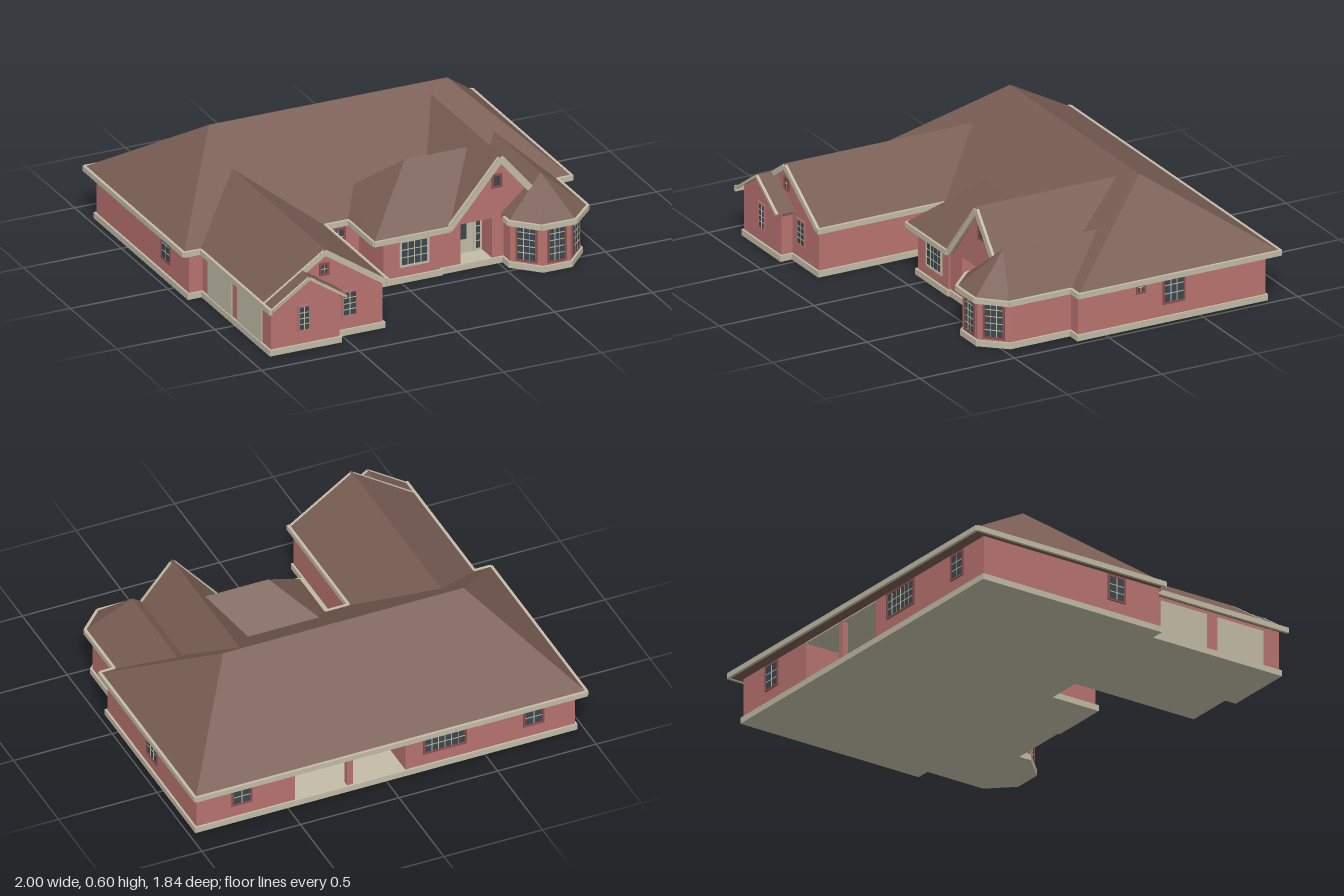
import * as THREE from 'three';

const mat = (name, color, side = THREE.FrontSide) => {
  const m = new THREE.MeshStandardMaterial({ color, side });
  m.name = name;
  return m;
};

export function createModel() {
  const house = new THREE.Group();
  house.name = 'house';
  const brick = mat('brick', 0xb8736f);
  const darkBrick = mat('dark brick', 0x8a504d);
  const cream = mat('cream trim', 0xc2bca6);
  const glass = mat('glass', 0x3c464e);
  const shingle = mat('shingle', 0x785d53, THREE.DoubleSide);

  const add = (name, geo, m, parent = house) => {
    const mesh = new THREE.Mesh(geo, m);
    mesh.name = name;
    parent.add(mesh);
    return mesh;
  };
  const box = (name, m, x0, x1, y0, y1, z0, z1) =>
    add(name, new THREE.BoxGeometry(x1 - x0, y1 - y0, z1 - z0), m)
      .position.set((x0 + x1) / 2, (y0 + y1) / 2, (z0 + z1) / 2);

  // Plan outline of [x, z] points raised from y0 to y1
  const plan = (name, m, pts, y0, y1) => {
    const shape = new THREE.Shape(pts.map(([x, z]) => new THREE.Vector2(x, -z)));
    const geo = new THREE.ExtrudeGeometry(shape, { depth: y1 - y0, bevelEnabled: false });
    add(name, geo.rotateX(-Math.PI / 2).translate(0, y0, 0), m);
  };
  // Upright outline of [x, y] points, thickened from z0 to z1
  const gable = (name, pts, z0, z1) => {
    const shape = new THREE.Shape(pts.map(p => new THREE.Vector2(...p)));
    add(name, new THREE.ExtrudeGeometry(shape, { depth: z1 - z0, bevelEnabled: false }).translate(0, 0, z0), brick);
  };
  // Flat roof faces, each fanned from its first corner
  const roof = (name, faces) => {
    const pos = [];
    for (const f of faces)
      for (let i = 1; i < f.length - 1; i++) {
        const t = [f[0], f[i], f[i + 1]].map(p => new THREE.Vector3(...p));
        const n = t[1].clone().sub(t[0]).cross(t[2].clone().sub(t[0]));
        if (n.y < 0) t.reverse();
        t.forEach(v => pos.push(v.x, v.y, v.z));
      }
    const geo = new THREE.BufferGeometry();
    geo.setAttribute('position', new THREE.Float32BufferAttribute(pos, 3));
    geo.computeVertexNormals();
    add(name, geo, shingle);
  };
  // Straight trim board between two points
  const board = (name, a, b, w, h) => {
    const p = new THREE.Vector3(...a), q = new THREE.Vector3(...b);
    const mesh = add(name, new THREE.BoxGeometry(w, h, p.distanceTo(q)), cream);
    mesh.position.copy(p).add(q).multiplyScalar(0.5);
    mesh.lookAt(q);
  };

  // Foundation and brick walls, with a back porch and a front entry recess
  plan('foundation', cream, [
    [-.97, -.86], [.97, -.86], [.97, .15], [.9, .15], [.9, .465], [.79, .585], [.64, .585], [.52, .465],
    [.52, .4], [.21, .4], [.21, .41], [-.1, .41], [-.1, .15], [-.28, .15], [-.28, .82], [-.53, .82],
    [-.53, .88], [-.9, .88], [-.9, .15], [-.97, .15]], 0, .03);
  plan('walls', brick, [
    [-.96, -.85], [-.1, -.85], [-.1, -.5], [.46, -.5], [.46, -.85], [.96, -.85], [.96, .14], [.89, .14],
    [.89, .46], [.785, .575], [.645, .575], [.53, .46], [.53, .39], [.47, .39], [.47, .28], [.31, .28],
    [.31, .39], [.2, .39], [.2, .4], [-.09, .4], [-.09, .14], [-.29, .14], [-.29, .81], [-.54, .81],
    [-.54, .87], [-.89, .87], [-.89, .14], [-.96, .14]], .03, .235);
  gable('wingGable', [[-.88, .23], [-.3, .23], [-.3, .25], [-.59, .45], [-.88, .25]], .79, .81);
  gable('smallGable', [[-.89, .23], [-.54, .23], [-.54, .25], [-.71, .37], [-.89, .25]], .84, .87);
  gable('entryGable', [[.25, .23], [.74, .23], [.74, .26], [.5, .55], [.25, .25]], .37, .39);
  box('porchPost', brick, .165, .195, .03, .235, -.85, -.82);
  box('porchCeiling', cream, -.1, .46, .218, .224, -.85, -.5);

  // Roofs
  const E = .245;
  const r1 = [-.61, .6, -.38], r2 = [.61, .6, -.38];
  const A = [-.99, E, -.91], B = [.99, E, -.91], C = [.99, E, .15], D = [-.99, E, .15];
  roof('mainRoof', [[A, B, r2, r1], [D, C, r2, r1], [A, D, r1], [B, C, r2]]);
  // Pair of slopes meeting on a ridge that runs back from the front
  const ridgeRoof = (name, x, half, top, front, back, eaveBack) =>
    roof(name, [-1, 1].map(s => [[x + s * half, E, front], [x, top, front], [x, top, back], [x + s * half, E, eaveBack]]));
  ridgeRoof('wingRoof', -.59, .315, .46, .83, -.17, .15);
  ridgeRoof('smallGableRoof', -.71, .195, .378, .915, .5, .5);
  ridgeRoof('entryGableRoof', .5, .265, .56, .43, -.32, .15);
  const h1 = [.13, .505, .17], h2 = [.45, .505, .17], h3 = [-.05, .345, 0], h4 = [.31, .345, 0];
  roof('hipRoof', [
    [[-.15, E, .43], [.235, E, .43], h2, h1],
    [h1, h3, h4, h2],
    [[-.15, E, .43], [-.15, E, .15], h3, h1]]);
  const apex = [.715, .42, .4], tail = [.715, .42, -.1];
  const bay = [[.515, E, .15], [.515, E, .48], [.63, E, .595], [.8, E, .595], [.915, E, .48], [.915, E, .15]];
  roof('bayRoof', [
    [bay[0], bay[1], apex, tail], [bay[1], bay[2], apex], [bay[2], bay[3], apex],
    [bay[3], bay[4], apex], [bay[4], bay[5], tail, apex]]);
  plan('soffit', shingle, [
    [-.985, -.905], [.985, -.905], [.985, .145], [.91, .145], [.91, .478], [.798, .59], [.632, .59],
    [.52, .478], [.52, .38], [.24, .38], [.24, .425], [-.145, .425], [-.145, .145], [-.28, .145],
    [-.28, .805], [-.53, .805], [-.53, .865], [-.9, .865], [-.9, .145], [-.985, .145]], .225, .243);

  // Gutters along the eaves, given as [x, z] runs
  const runs = [
    [[-.905, .155], [-.993, .155], [-.993, -.913], [.993, -.913], [.993, .155], [.918, .155]],
    [[-.908, .155], [-.908, .91]], [[-.27, .83], [-.27, .155], [-.15, .155], [-.15, .43], [.235, .43]],
    [[.512, .43], [.512, .482], [.628, .598], [.802, .598], [.918, .482], [.918, .155]]];
  for (const run of runs)
    for (let i = 1; i < run.length; i++)
      board('gutter', [run[i - 1][0], .236, run[i - 1][1]], [run[i][0], .236, run[i][1]], .014, .026);
  // Sloping trim under the gable edges
  const rake = (x, y, x1, y1, z, h) => board('rakeTrim', [x, y - h * .6, z], [x1, y1 - h * .6, z], .014, h);
  rake(-.59, .46, -.9, .25, .822, .026);
  rake(-.59, .46, -.28, .25, .822, .026);
  rake(-.71, .378, -.9, .25, .905, .012);
  rake(-.71, .378, -.52, .25, .905, .012);
  rake(.5, .56, .235, .25, .422, .032);
  rake(.5, .56, .65, .382, .422, .032);

  // Window: surround, glass and glazing bars, turned to face its wall
  const windowAt = (name, x, y, z, w, h, turn, cols, rows, edge = darkBrick) => {
    const g = new THREE.Group();
    g.name = name;
    g.position.set(x, y, z);
    g.rotation.y = turn;
    house.add(g);
    const part = (n, m, px, py, pz, pw, ph, d) =>
      add(n, new THREE.BoxGeometry(pw, ph, d), m, g).position.set(px, py, pz);
    part('glass', glass, 0, 0, .001, w, h, .004);
    for (const s of [-1, 1]) {
      part('sideFrame', edge, s * (w / 2 + .005), 0, .002, .01, h + .02, .009);
      part('crossFrame', edge, 0, s * (h / 2 + .005), .002, w, .01, .009);
    }
    for (let i = 1; i < cols; i++) part('bar', cream, (i / cols - .5) * w, 0, .003, .004, h, .003);
    for (let i = 1; i < rows; i++) part('bar', cream, 0, (i / rows - .5) * h, .003, w, .004, .003);
  };
  const Q = Math.PI / 2;
  windowAt('wingWindow', -.72, .157, .87, .046, .115, 0, 2, 4, brick);
  windowAt('wingWindow', -.458, .157, .81, .062, .115, 0, 2, 4, brick);
  windowAt('gableVent', -.59, .356, .81, .03, .045, 0, 2, 2);
  windowAt('recessWindow', -.2, .145, .14, .06, .11, 0, 2, 3);
  windowAt('frontWindow', .068, .145, .4, .13, .115, 0, 4, 3, cream);
  windowAt('gableVent', .495, .417, .39, .032, .05, 0, 1, 1);
  windowAt('bayWindow', .715, .135, .575, .075, .17, 0, 3, 5);
  windowAt('bayWindow', .5875, .135, .5175, .085, .17, -Q / 2, 3, 5);
  windowAt('bayWindow', .8375, .135, .5175, .085, .17, Q / 2, 3, 5);
  windowAt('sideWindow', .96, .16, -.365, .1, .125, Q, 3, 3);
  windowAt('smallSideWindow', .96, .2, -.19, .03, .045, Q, 2, 2);
  windowAt('leftSideWindow', -.96, .155, -.1, .08, .11, -Q, 2, 3);
  windowAt('backWindow', .73, .155, -.85, .085, .11, 2 * Q, 2, 3);
  windowAt('backWindow', -.3, .155, -.85, .2, .11, 2 * Q, 6, 3);
  windowAt('backWindow', -.75, .155, -.85, .085, .11, 2 * Q, 2, 3);

  // Front door with its glass panel and sidelights
  box('frontDoor', cream, .345, .43, .03, .2, .279, .285);
  box('doorGlass', glass, .357, .39, .1, .19, .284, .288);
  windowAt('sidelight', .328, .115, .28, .022, .15, 0, 1, 4, cream);
  windowAt('sidelight', .449, .115, .28, .022, .15, 0, 1, 4, cream);

  // Garage doors
  for (const z of [.33, .65]) box('garageDoor', cream, -.895, -.889, .03, .205, z - .13, z + .13);
  return house;
}
